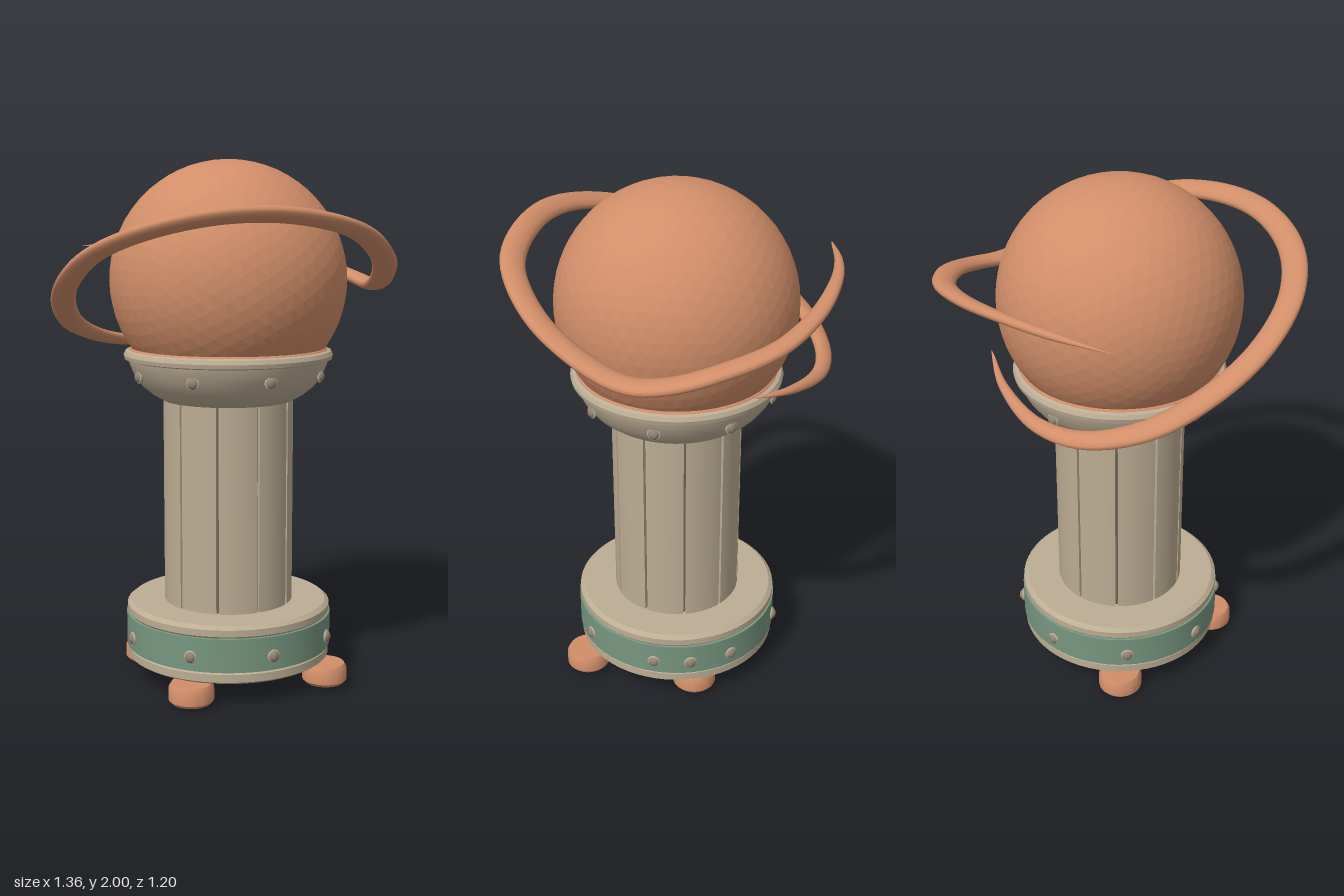
import * as THREE from 'three';
import { toCreasedNormals } from 'three/addons/utils/BufferGeometryUtils.js';

const material = (name, color) => {
  const m = new THREE.MeshStandardMaterial({ color });
  m.name = name;
  return m;
};

export function createModel() {
  const copper = material('copper', 0xd18e69);
  const stone = material('stone', 0xbcad94);
  const green = material('green band', 0x76967f);
  const rivetGrey = material('rivet grey', 0x8f8473);
  const grooveDark = material('groove shade', 0x6f6555);

  const model = new THREE.Group();
  const add = (name, geometry, mat, x = 0, y = 0, z = 0) => {
    const mesh = new THREE.Mesh(geometry, mat);
    mesh.name = name;
    mesh.position.set(x, y, z);
    model.add(mesh);
    return mesh;
  };
  const lathe = (profile) => toCreasedNormals(
    new THREE.LatheGeometry(profile.map(([r, y]) => new THREE.Vector2(r, y)), 64), 0.6);

  // Stubby feet, set unevenly under the base
  const footShape = lathe([[0, 0], [0.075, 0], [0.085, 0.012], [0.085, 0.058], [0.075, 0.075], [0, 0.075]]);
  [[0.275, 0.01, -0.135], [0.265, 0.02, 0.31], [-0.24, 0, -0.275], [-0.275, 0.01, 0.27]]
    .forEach(([x, y, z]) => add('foot', footShape, copper, x, y, z));

  // Round base: lower rim, green band, upper slab
  add('baseRim', lathe([[0, 0.085], [0.38, 0.085], [0.395, 0.095], [0.395, 0.125], [0.385, 0.135], [0, 0.135]]), stone);
  add('baseBand', lathe([[0.38, 0.132], [0.4, 0.134], [0.4, 0.262], [0.38, 0.264]]), green);
  add('baseSlab', lathe([[0, 0.26], [0.388, 0.26], [0.396, 0.27], [0.396, 0.295], [0.38, 0.308], [0, 0.308]]), stone);

  // Column of ten staves around a dark core
  add('columnCore', new THREE.CylinderGeometry(0.236, 0.236, 0.8, 40), grooveDark, 0, 0.7, 0);
  const staves = 10, step = Math.PI * 2 / staves, gap = 0.02;
  const section = new THREE.Shape();
  section.absarc(0, 0, 0.25, gap, step - gap, false);
  section.absarc(0, 0, 0.215, step - gap, gap, true);
  section.closePath();
  const staveShape = toCreasedNormals(new THREE.ExtrudeGeometry(section,
    { depth: 0.8, bevelEnabled: false, curveSegments: 6 }).rotateX(-Math.PI / 2), 0.6);
  for (let i = 0; i < staves; i++) {
    add('columnStave', staveShape, stone, 0, 0.3, 0).rotation.y = -Math.PI / 2 + 0.035 + i * step;
  }

  // Cup holding the globe, with a rounded lip
  add('cup', lathe([[0, 1.095], [0.25, 1.095], [0.29, 1.118], [0.33, 1.15], [0.36, 1.19], [0.378, 1.235],
    [0.382, 1.25], [0.397, 1.255], [0.4, 1.27], [0.393, 1.285], [0.38, 1.29], [0.365, 1.283], [0.3, 1.2]]), stone);
  add('cupLining', new THREE.TorusGeometry(0.368, 0.012, 8, 64).rotateX(Math.PI / 2), copper, 0, 1.285, 0);

  // Rivets on cup and base band
  const rivetShape = new THREE.SphereGeometry(0.022, 10, 8);
  const rivetRing = new THREE.TorusGeometry(0.021, 0.005, 6, 14);
  const rivet = (angle, radius, y) => {
    const group = new THREE.Group();
    group.name = 'rivet';
    const head = new THREE.Mesh(rivetShape, rivetGrey);
    head.name = 'rivetHead';
    head.scale.z = 0.75;
    const collar = new THREE.Mesh(rivetRing, stone);
    collar.name = 'rivetCollar';
    group.add(head, collar);
    group.position.set(Math.sin(angle) * radius, y, Math.cos(angle) * radius);
    group.rotation.y = angle;
    model.add(group);
  };
  for (let i = 0; i < 8; i++) {
    rivet(i * Math.PI / 4, 0.366, 1.197);
    rivet(i * Math.PI / 4, 0.403, 0.188);
  }
  rivet(Math.PI / 2 + 0.36, 0.403, 0.188);

  // Softly faceted globe
  const globe = new THREE.IcosahedronGeometry(0.45, 9);
  add('globe', toCreasedNormals(globe, 0.05), copper, 0, 1.55, 0);

  // Open swirl ring: a flattened section swept along a curve, tapering to both tips
  const path = new THREE.CatmullRomCurve3([
    [0.32, 1.36, -0.35], [0.15, 1.32, -0.46], [-0.08, 1.285, -0.53], [-0.28, 1.295, -0.51],
    [-0.47, 1.36, -0.4], [-0.58, 1.45, -0.22], [-0.63, 1.55, -0.02], [-0.6, 1.66, 0.2],
    [-0.47, 1.74, 0.39], [-0.25, 1.79, 0.52], [0, 1.79, 0.56], [0.25, 1.74, 0.53],
    [0.45, 1.64, 0.38], [0.57, 1.55, 0.17], [0.62, 1.52, 0.02], [0.63, 1.54, -0.12],
    [0.575, 1.585, -0.29], [0.45, 1.62, -0.44], [0.25, 1.655, -0.535], [0, 1.68, -0.573],
    [-0.2, 1.68, -0.56], [-0.41, 1.67, -0.51],
  ].map((p) => new THREE.Vector3(...p)));
  const rows = 140, sides = 14, positions = [], indices = [];
  const centre = new THREE.Vector3(0, 1.55, 0);
  for (let i = 0; i <= rows; i++) {
    const t = i / rows;
    const p = path.getPointAt(t), tangent = path.getTangentAt(t);
    const out = p.clone().sub(centre);
    out.addScaledVector(tangent, -out.dot(tangent)).normalize();
    const up = tangent.clone().cross(out);
    const taper = Math.min(1, Math.pow(t / 0.2, 0.7), Math.pow((1 - t) / 0.22, 0.7));
    const wide = 0.001 + 0.046 * taper, thick = 0.001 + 0.023 * Math.sqrt(taper) * Math.min(1, taper * 3);
    for (let j = 0; j < sides; j++) {
      const a = j / sides * Math.PI * 2;
      const v = p.clone().addScaledVector(out, Math.cos(a) * wide).addScaledVector(up, Math.sin(a) * thick);
      positions.push(v.x, v.y, v.z);
      if (i < rows) {
        const k = (j + 1) % sides, b = i * sides, c = b + sides;
        indices.push(b + j, b + k, c + j, b + k, c + k, c + j);
      }
    }
  }
  const swirl = new THREE.BufferGeometry();
  swirl.setAttribute('position', new THREE.Float32BufferAttribute(positions, 3));
  swirl.setIndex(indices);
  swirl.computeVertexNormals();
  add('swirlRing', swirl, copper);

  return model;
}
